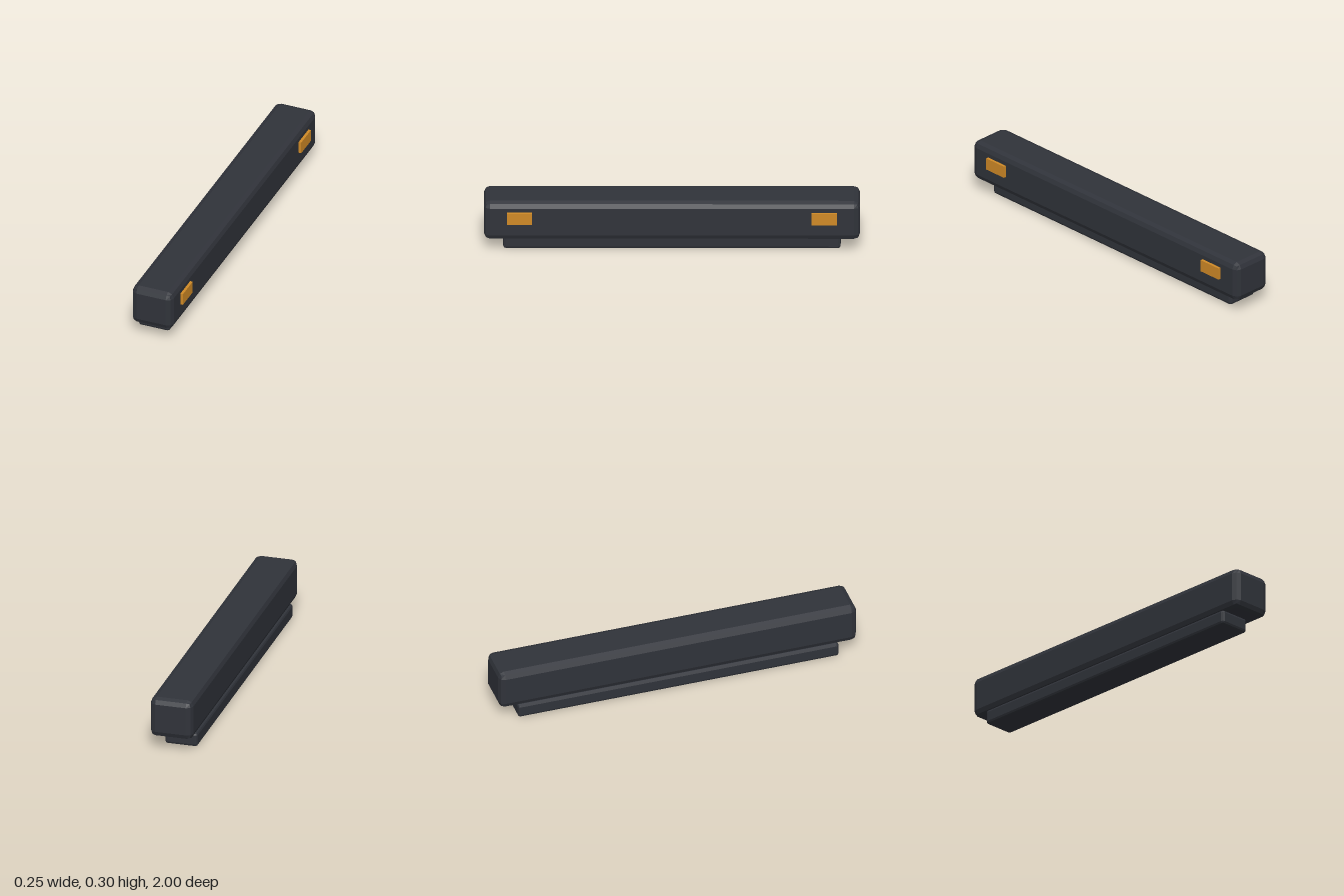
import * as THREE from 'three';
import { RoundedBoxGeometry } from 'three/addons/geometries/RoundedBoxGeometry.js';

// Place a geometry as a named mesh
function addPart(group, name, geometry, material, x, y, z) {
  const mesh = new THREE.Mesh(geometry, material);
  mesh.name = name;
  mesh.position.set(x, y, z);
  group.add(mesh);
}

export function createModel() {
  const group = new THREE.Group();
  group.name = 'bumperBeam';
  const dark = new THREE.MeshStandardMaterial({ color: 0x30333a, flatShading: true });
  const amber = new THREE.MeshStandardMaterial({ color: 0xd08a26, flatShading: true });

  // Main beam with two-facet bevels
  addPart(group, 'beam', new RoundedBoxGeometry(0.235, 0.224, 2, 1, 0.033), dark, -0.0075, 0.187, 0);

  // Narrower lower rail, flush with the beam on the -x side
  addPart(group, 'lowerRail', new RoundedBoxGeometry(0.179, 0.079, 1.794, 1, 0.014), dark, -0.0355, 0.0395, 0);

  // Reflectors near both ends of the +x face
  for (const side of [1, -1]) {
    addPart(group, side > 0 ? 'frontReflector' : 'rearReflector',
      new THREE.BoxGeometry(0.025, 0.067, 0.134), amber, 0.1125, 0.21, side * 0.81);
  }
  return group;
}
